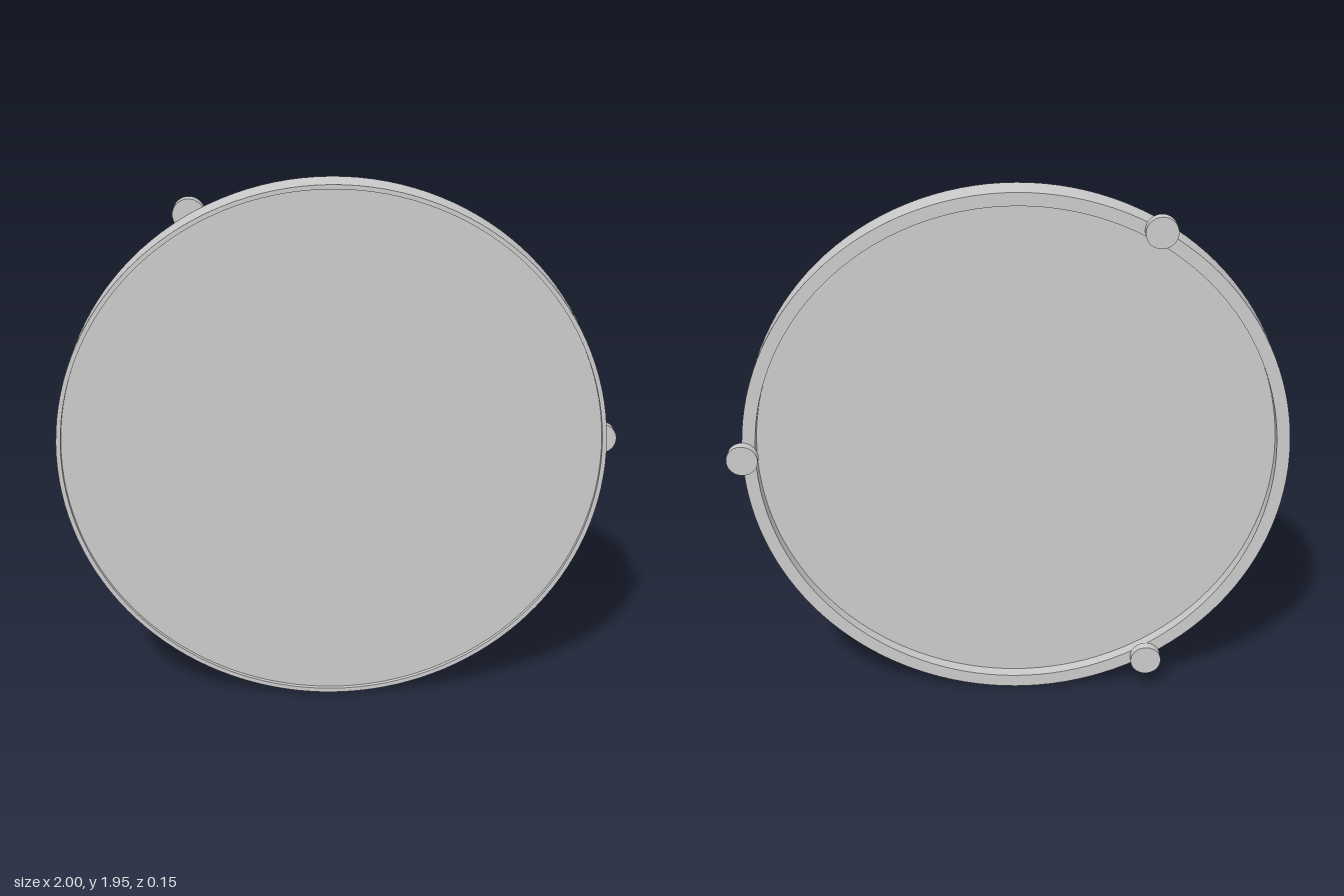
import * as THREE from 'three';
import { toCreasedNormals } from 'three/addons/utils/BufferGeometryUtils.js';

const RADIUS = 0.973;
const FRONT = 0.073, BACK = -0.039, FOOT_BACK = -0.073;
const FOOT_RADIUS = 0.056;

export function createModel() {
  const group = new THREE.Group();
  const material = new THREE.MeshStandardMaterial({ color: 0xcccccc });

  // Spin a (radius, z) profile about the z axis, keeping its corners sharp
  const turned = (name, profile, segments) => {
    const points = profile.map(([r, z]) => new THREE.Vector2(r, z));
    const geometry = new THREE.LatheGeometry(points, segments).rotateX(Math.PI / 2);
    const mesh = new THREE.Mesh(toCreasedNormals(geometry, 0.6), material);
    mesh.name = name;
    return mesh;
  };

  const tray = new THREE.Group();
  tray.name = 'roundTray';
  tray.position.set(-0.027, RADIUS, 0);
  group.add(tray);

  // Outer ring: wide lip at the back, thin lip at the front
  const panelBack = 0.008, panelFront = 0.058;
  tray.add(turned('rim', [
    [0.926, panelBack], [0.926, BACK], [RADIUS, BACK],
    [RADIUS, FRONT], [0.957, FRONT], [0.957, panelFront],
  ], 128));

  // Panel set into the ring, recessed on both faces
  tray.add(turned('panel', [
    [0, panelBack], [0.926, panelBack], [0.957, panelBack],
    [0.957, panelFront], [0, panelFront],
  ], 128));

  // Three round feet spaced evenly on the back of the rim
  for (let i = 0; i < 3; i++) {
    const angle = (i * 2 * Math.PI) / 3;
    const foot = new THREE.Mesh(
      new THREE.CylinderGeometry(FOOT_RADIUS, FOOT_RADIUS, BACK - FOOT_BACK, 40).rotateX(Math.PI / 2),
      material
    );
    foot.name = 'foot' + (i + 1);
    foot.position.set(Math.cos(angle) * 0.971, Math.sin(angle) * 0.971, (BACK + FOOT_BACK) / 2);
    tray.add(foot);
  }
  return group;
}
